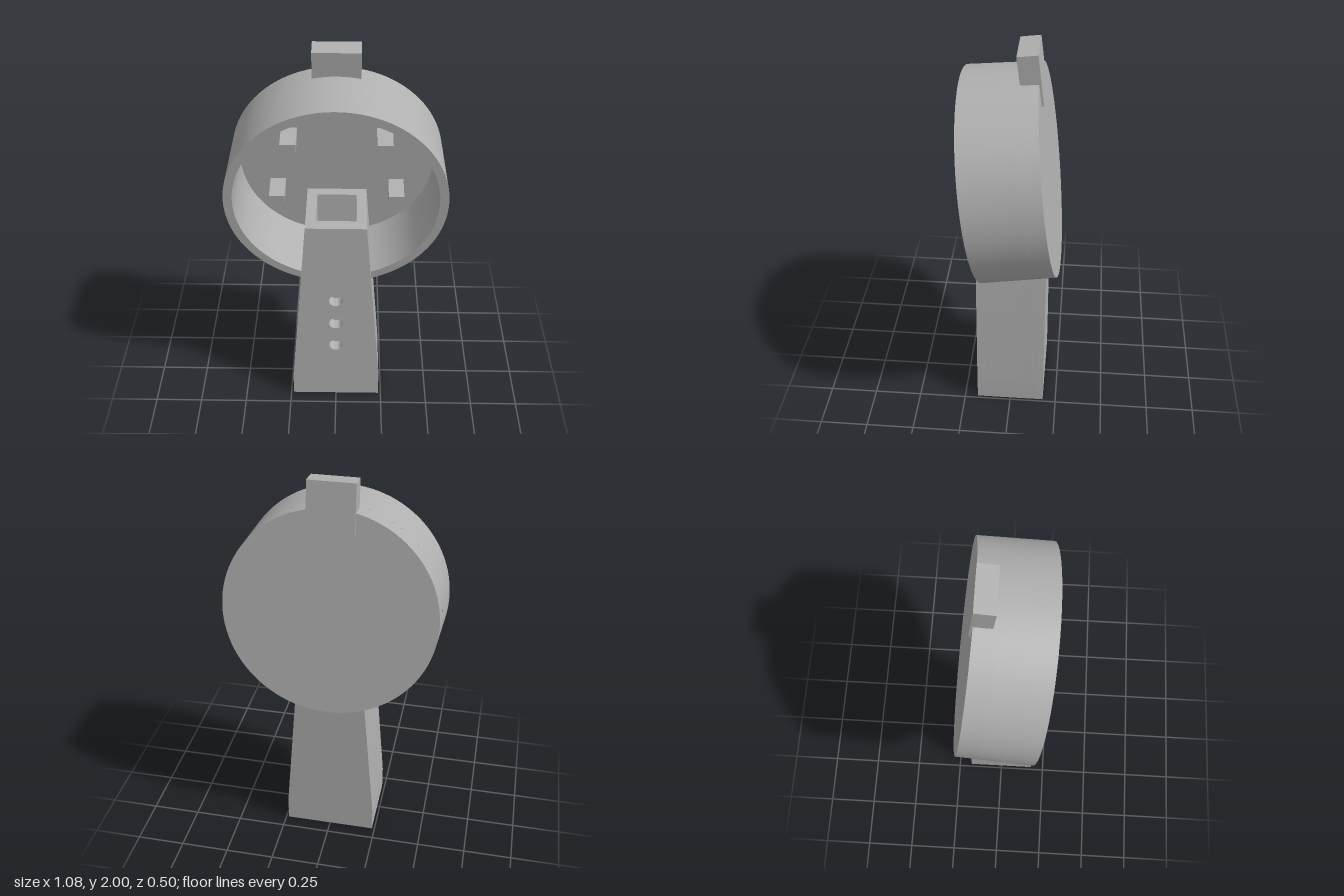
import * as THREE from 'three';
import { toCreasedNormals } from 'three/addons/utils/BufferGeometryUtils.js';

const TILT = 0.1194, DEPTH = 0.3735;

export function createModel() {
  const root = new THREE.Group();
  root.name = 'tiltedCupStand';
  const grey = new THREE.MeshStandardMaterial({ color: 0xb0b0b0 });
  grey.name = 'plainGrey';

  const add = (parent, name, geometry, x = 0, y = 0, z = 0) => {
    const mesh = new THREE.Mesh(geometry, grey);
    mesh.name = name;
    mesh.position.set(x, y, z);
    parent.add(mesh);
    return mesh;
  };
  const box = (parent, name, w, h, d, x, y, z) =>
    add(parent, name, new THREE.BoxGeometry(w, h, d), x, y, z);

  // Hollow tapered leg, made of walls around a straight shaft
  const leg = new THREE.Group();
  leg.name = 'leg';
  root.add(leg);
  const foot = 0.236, neck = 0.1525, bend = 0.13, top = 1.15;
  const half = 0.18, shaftX = 0.1, shaftZ = 0.115, recess = 0.08, lip = 0.03;

  const extrude = (points, depth, holes = []) => {
    const shape = new THREE.Shape(points.map(([x, y]) => new THREE.Vector2(x, y)));
    for (const y of holes) {
      const path = new THREE.Path();
      path.absarc(0, y, 0.036, 0, Math.PI * 2, true);
      shape.holes.push(path);
    }
    return toCreasedNormals(
      new THREE.ExtrudeGeometry(shape, { depth, bevelEnabled: false, curveSegments: 24 }), 0.6);
  };
  const plate = (y0, depth, holes) => extrude(
    [[-foot, y0], [foot, y0], [foot, bend], [neck, top], [-neck, top], [-foot, bend]], depth, holes);
  const holes = [0.37, 0.527, 0.683];

  add(leg, 'frontFace', plate(0, lip, holes), 0, 0, half - lip);
  add(leg, 'frontWall', plate(recess, half - lip - shaftZ, holes), 0, 0, shaftZ);
  add(leg, 'backFace', plate(0, lip), 0, 0, -half);
  add(leg, 'backWall', plate(recess, half - lip - shaftZ), 0, 0, lip - half);
  for (const side of [1, -1]) {
    const outline = [[shaftX, recess], [foot, recess], [foot, bend], [neck, top], [shaftX, top]]
      .map(([x, y]) => [x * side, y]);
    add(leg, 'sideWall', extrude(outline, shaftZ * 2), 0, 0, -shaftZ);
    box(leg, 'bottomLip', lip, recess, 2 * (half - lip), side * (foot - lip / 2), recess / 2, 0);
  }
  box(leg, 'lipTab', 0.006, 0.03, 0.11, -(foot - lip), 0.04, 0);

  // Open cup, tipped forward; local z runs from its back disc to its rim
  const cup = new THREE.Group();
  cup.name = 'cup';
  cup.position.set(0, 1.346, -0.186);
  cup.rotation.x = TILT;
  root.add(cup);

  const outer = (z) => 0.529 + 0.0115 * z / DEPTH;
  const inner = (z) => 0.485 + 0.012 * z / DEPTH;
  const turn = (name, points, gap) => {
    const lathe = new THREE.LatheGeometry(
      points.map(([r, z]) => new THREE.Vector2(r, z)), 96, gap, Math.PI * 2 - 2 * gap);
    add(cup, name, toCreasedNormals(lathe, 0.5)).rotation.x = Math.PI / 2;
  };
  const split = 0.1, floor = 0.04;
  turn('cupBack', [[0, 0], [outer(0), 0], [outer(split), split],
    [inner(split), split], [inner(floor), floor], [0, floor]], 0);
  // The rim wall is left open where the leg shaft passes through
  turn('cupWall', [[outer(split), split], [outer(DEPTH), DEPTH],
    [inner(DEPTH), DEPTH], [inner(split), split]], 0.29);

  // Clip through the top of the cup
  box(cup, 'topClip', 0.23, 0.251, 0.0985, 0, 0.5315, 0.038);

  // Support pegs on the cup floor
  for (const side of [1, -1]) {
    for (const [x, y] of [[0.235, 0.18], [0.302, -0.145]]) {
      box(cup, 'supportPeg', 0.078, 0.045, 0.15, side * x, y, 0.105);
    }
  }
  return root;
}
